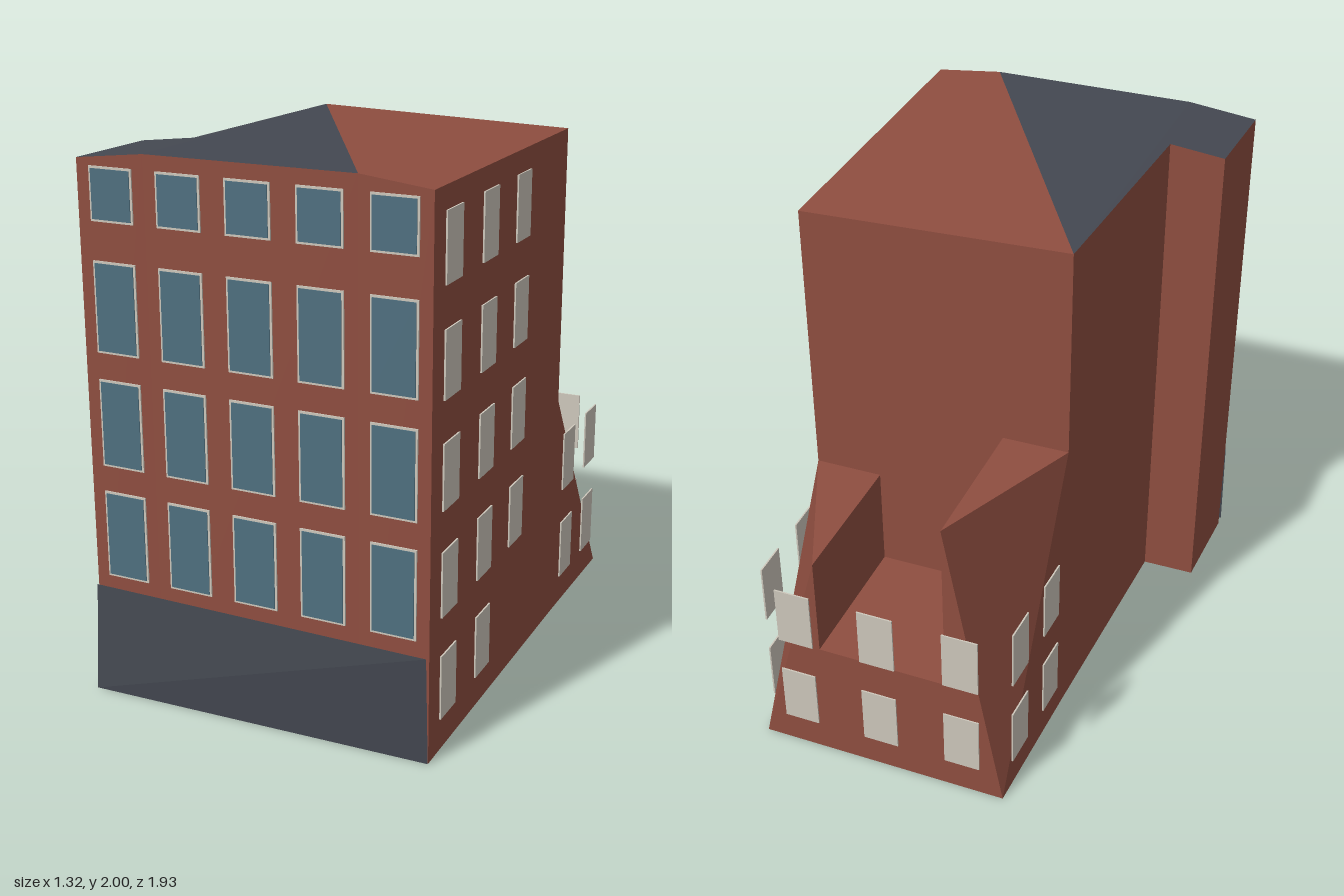
import * as THREE from 'three';

const mat = (name, color, extra = {}) => {
  const m = new THREE.MeshStandardMaterial({ color, ...extra });
  m.name = name;
  return m;
};

// Flat-faced geometry from polygons given counter-clockwise seen from outside
function polygons(list) {
  const pos = [];
  for (const poly of list) {
    const pts = poly.map(p => new THREE.Vector3(...p));
    const n = new THREE.Vector3();
    pts.forEach((p, i) => n.add(p.clone().cross(pts[(i + 1) % pts.length])));
    n.normalize();
    // project onto the polygon's own plane to triangulate it
    const u = pts[1].clone().sub(pts[0]).normalize();
    const v = n.clone().cross(u);
    const flat = pts.map(p => new THREE.Vector2(p.dot(u), p.dot(v)));
    for (const [a, b, c] of THREE.ShapeUtils.triangulateShape(flat, [])) {
      const t = pts[b].clone().sub(pts[a]).cross(pts[c].clone().sub(pts[a]));
      const tri = t.dot(n) > 0 ? [a, b, c] : [a, c, b];
      tri.forEach(i => pos.push(...pts[i].toArray()));
    }
  }
  const g = new THREE.BufferGeometry();
  g.setAttribute('position', new THREE.Float32BufferAttribute(pos, 3));
  g.computeVertexNormals();
  return g;
}

export function createModel() {
  const brick = mat('brick', 0x8f4e40);
  const slate = mat('slate', 0x444851);
  const slateSheet = slate;
  slateSheet.side = THREE.DoubleSide;
  const glass = mat('glass', 0x4f7080);
  const stone = mat('pale stone', 0xcec8bc);

  const model = new THREE.Group();
  model.name = 'building';
  const add = (name, geometry, material, parent = model) => {
    const m = new THREE.Mesh(geometry, material);
    m.name = name;
    parent.add(m);
    return m;
  };

  // Main block: walls follow the footprint (x, top height, z)
  const plan = [
    [-0.665, 1.97, 0.915], [-0.4, 2, 0.918], [0.395, 2, 0.927], [0.655, 1.97, 0.93],
    [0.63, 1.97, -0.39], [-0.38, 2, -0.39], [-0.435, 1.996, 0.535], [-0.645, 1.972, 0.535],
  ];
  const ground = ([x, , z]) => [x, 0, z];
  const walls = plan.map((a, i) => {
    const b = plan[(i + 1) % plan.length];
    return [ground(a), ground(b), b, a];
  });
  add('mainWalls', polygons([...walls, plan.map(ground).reverse()]), brick);
  add('brickRoof', polygons([[2, 3, 4, 5].map(i => plan[i])]), brick);
  add('slateRoof', polygons([[0, 1, 2, 5, 6, 7].map(i => plan[i])]), slate);

  // Shopfront: a slightly twisted panel
  const topL = [-0.665, 0.405, 0.925], topR = [0.655, 0.405, 0.957];
  const lowL = [-0.665, 0, 0.957], lowR = [0.655, 0, 0.933];
  add('shopfront', polygons([[topL, lowL, topR], [lowL, lowR, topR]]), slateSheet);

  // Rear annex: leaning corner gables on both sides of a terrace
  const zL = -0.965, zR = -0.96, zM = -0.39, xL = -0.13, xR = 0.37, deck = 0.5;
  const backL = [-0.35, 0, zL], backR = [0.625, 0, zR];
  const meetL = y => [-0.38, y, zM], meetR = y => [0.63, y, zM];
  const peakL = [xL, 1.2, zL], peakR = [xR, 0.9, zR];
  const deckBackL = [xL, deck, zL], deckBackR = [xR, deck, zR];
  const deckL = [xL, deck, zM], deckR = [xR, deck, zM];
  add('rearAnnex', polygons([
    [backL, meetL(0), meetL(1.2)], [backL, meetL(1.2), peakL],
    [meetR(0), backR, meetR(0.9)], [backR, peakR, meetR(0.9)],
    [backR, backL, peakL, deckBackL, deckBackR, peakR],
    [meetL(0), backL, backR, meetR(0)],
  ]), brick);
  add('annexTerrace', polygons([
    [deckL, deckR, deckBackR, deckBackL],
    [deckL, deckBackL, peakL, [xL, 1.2, zM]],
    [deckBackR, deckR, [xR, 0.9, zM], peakR],
    [meetL(1.2), [xL, 1.2, zM], peakL],
    [[xR, 0.9, zM], meetR(0.9), peakR],
  ]), brick);

  // A group whose x runs along a wall from a to b and whose z points outwards
  const wallFrame = (name, [ax, az], [bx, bz]) => {
    const g = new THREE.Group();
    g.name = name;
    g.position.set(ax, 0, az);
    g.rotation.y = -Math.atan2(bz - az, bx - ax);
    model.add(g);
    return g;
  };
  const plate = (name, parent, material, x, y0, y1, w, depth) => {
    const m = add(name, new THREE.BoxGeometry(w, y1 - y0, depth), material, parent);
    m.position.set(x, (y0 + y1) / 2, depth / 2);
  };

  // Front windows: glass over a pale frame
  const front = wallFrame('frontWindows', [-0.665, 0.915], [0.655, 0.93]);
  const frontRows = [[0.45, 0.777], [0.873, 1.195], [1.292, 1.62], [1.757, 1.947]];
  for (const [y0, y1] of frontRows) {
    for (let c = 0; c < 5; c++) {
      const x = 0.136 + c * 0.263;
      plate('windowFrame', front, stone, x, y0, y1, 0.17, 0.005);
      plate('windowGlass', front, glass, x, y0 + 0.008, y1 - 0.008, 0.154, 0.008);
    }
  }

  // Plain pale windows on the other walls
  const rows = [[0.12, 0.357], [0.5, 0.738], [0.885, 1.12], [1.268, 1.505], [1.65, 1.89]];
  const paleWindows = (wall, columns, levels) => {
    for (const x of columns)
      for (const [y0, y1] of levels) plate('paleWindow', wall, stone, x, y0, y1, 0.138, 0.006);
  };
  const right = wallFrame('rightWindows', [0.655, 0.93], [0.625, -0.96]);
  paleWindows(right, [0.165, 0.495], rows);
  paleWindows(right, [0.823], rows.slice(1));
  paleWindows(right, [1.46, 1.745], rows.slice(0, 2));

  const back = wallFrame('backWindows', [0.625, -0.96], [-0.35, -0.965]);
  paleWindows(back, [0.16, 0.488, 0.815], rows.slice(0, 2));
  const left = wallFrame('leftWindows', [-0.35, -0.965], [-0.38, -0.39]);
  paleWindows(left, [0.15, 0.435], rows.slice(0, 2));

  return model;
}
